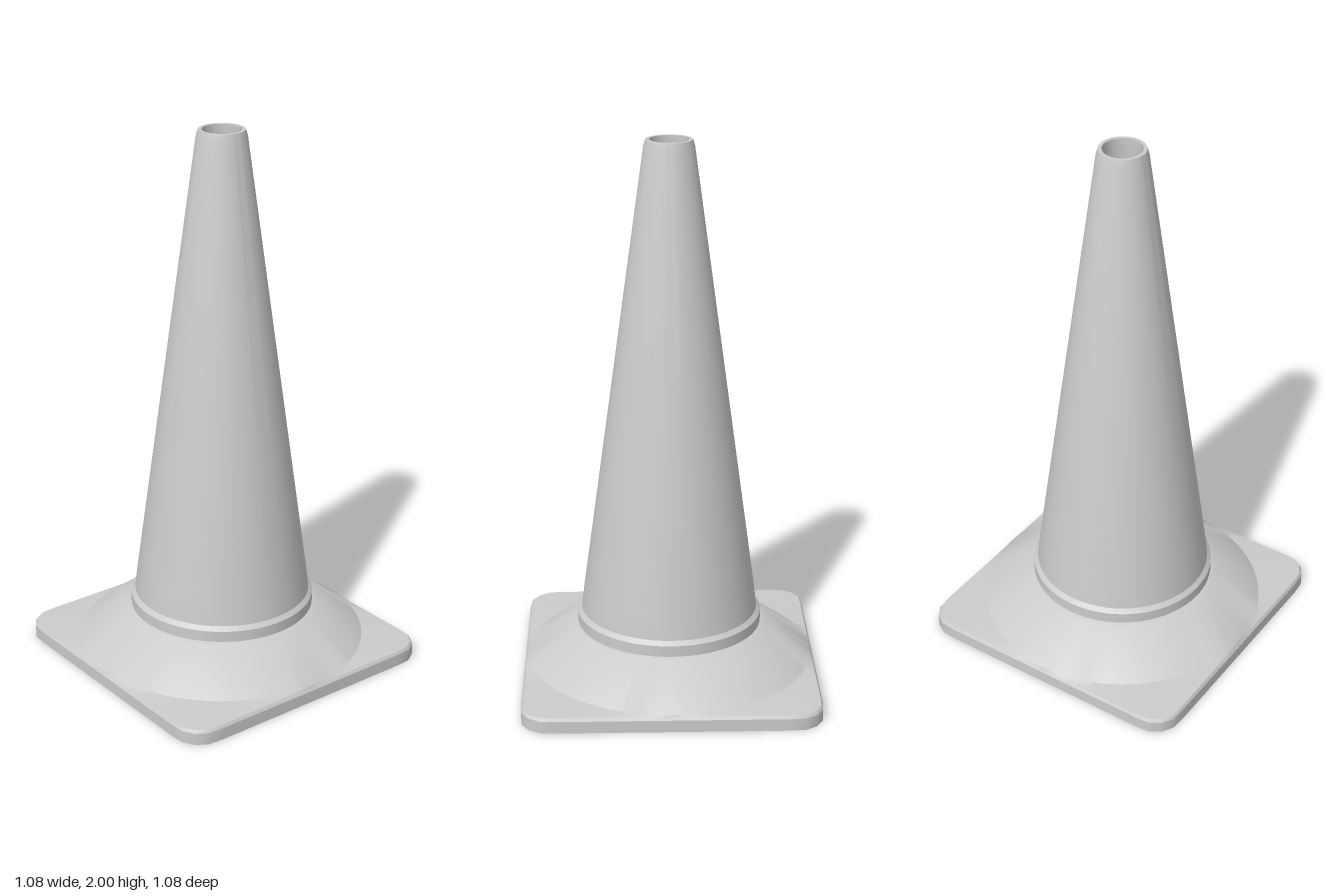
import * as THREE from 'three';
import { toCreasedNormals } from 'three/addons/utils/BufferGeometryUtils.js';

const material = new THREE.MeshStandardMaterial({ color: 0xcccccc });

function addPart(group, name, geometry) {
  const mesh = new THREE.Mesh(toCreasedNormals(geometry, 0.5), material);
  mesh.name = name;
  group.add(mesh);
  return mesh;
}

// Distance from the centre to a rounded square's edge in direction t
function squareRadius(t, half = 0.54, corner = 0.1) {
  const a = Math.abs(Math.cos(t)), b = Math.abs(Math.sin(t));
  const u = Math.max(a, b), v = Math.min(a, b), c = half - corner;
  if ((half * v) / u <= c) return half / u;
  const p = c * (u + v);
  return p + Math.sqrt(p * p - 2 * c * c + corner * corner);
}

// Skin a closed section, given as [radius(t), y] rows, around the y axis
function ringSkin(rows, segments) {
  const positions = [], indices = [];
  for (const [radius, y] of rows) {
    for (let j = 0; j < segments; j++) {
      const t = (j / segments) * Math.PI * 2, r = radius(t);
      positions.push(r * Math.cos(t), y, r * Math.sin(t));
    }
  }
  for (let i = 0; i < rows.length; i++) {
    const lower = i * segments, upper = ((i + 1) % rows.length) * segments;
    for (let j = 0; j < segments; j++) {
      const k = (j + 1) % segments;
      indices.push(lower + j, upper + j, lower + k, upper + j, upper + k, lower + k);
    }
  }
  const geometry = new THREE.BufferGeometry();
  geometry.setAttribute('position', new THREE.Float32BufferAttribute(positions, 3));
  geometry.setIndex(indices);
  return geometry;
}

export function createModel() {
  const group = new THREE.Group();
  group.name = 'trafficCone';

  // Hollow cone with a small collar, open at both ends
  const profile = [
    [0.32, 0.04], [0.34, 0.04], [0.34, 0.235], [0.325, 0.25], [0.317, 0.32],
    [0.09, 1.975], [0.083, 2], [0.07, 2], [0.07, 1.97],
    [0.3, 0.32], [0.32, 0.19], [0.32, 0.04],
  ].map(([r, y]) => new THREE.Vector2(r, y));
  addPart(group, 'coneBody', new THREE.LatheGeometry(profile, 64));

  // Square foot: rim, flat corners, round flare, then the hollow underside
  const round = (r) => () => r;
  const square = (inset) => (t) => squareRadius(t) - inset;
  const clipped = (r, inset) => (t) => Math.min(r, squareRadius(t) - inset);
  addPart(group, 'baseFoot', ringSkin([
    [square(0), 0], [square(0), 0.045], [square(0.008), 0.056],
    [clipped(0.53, 0.01), 0.062], [round(0.36), 0.19], [round(0.335), 0.195],
    [round(0.335), 0.17], [round(0.35), 0.17],
    [clipped(0.515, 0.025), 0.04], [square(0.02), 0.036], [square(0.02), 0],
  ], 96));

  // Diagonal stiffening webs under the four corners
  const web = new THREE.Shape();
  [[0.335, 0.03], [0.66, 0.01], [0.66, 0.045], [0.53, 0.05], [0.36, 0.18], [0.335, 0.18]]
    .forEach(([x, y], i) => (i ? web.lineTo(x, y) : web.moveTo(x, y)));
  const webGeometry = new THREE.ExtrudeGeometry(web, { depth: 0.014, bevelEnabled: false });
  webGeometry.translate(0, 0, -0.007);
  for (let i = 0; i < 4; i++) {
    addPart(group, 'cornerWeb', webGeometry).rotation.y = Math.PI / 4 + (i * Math.PI) / 2;
  }
  return group;
}
